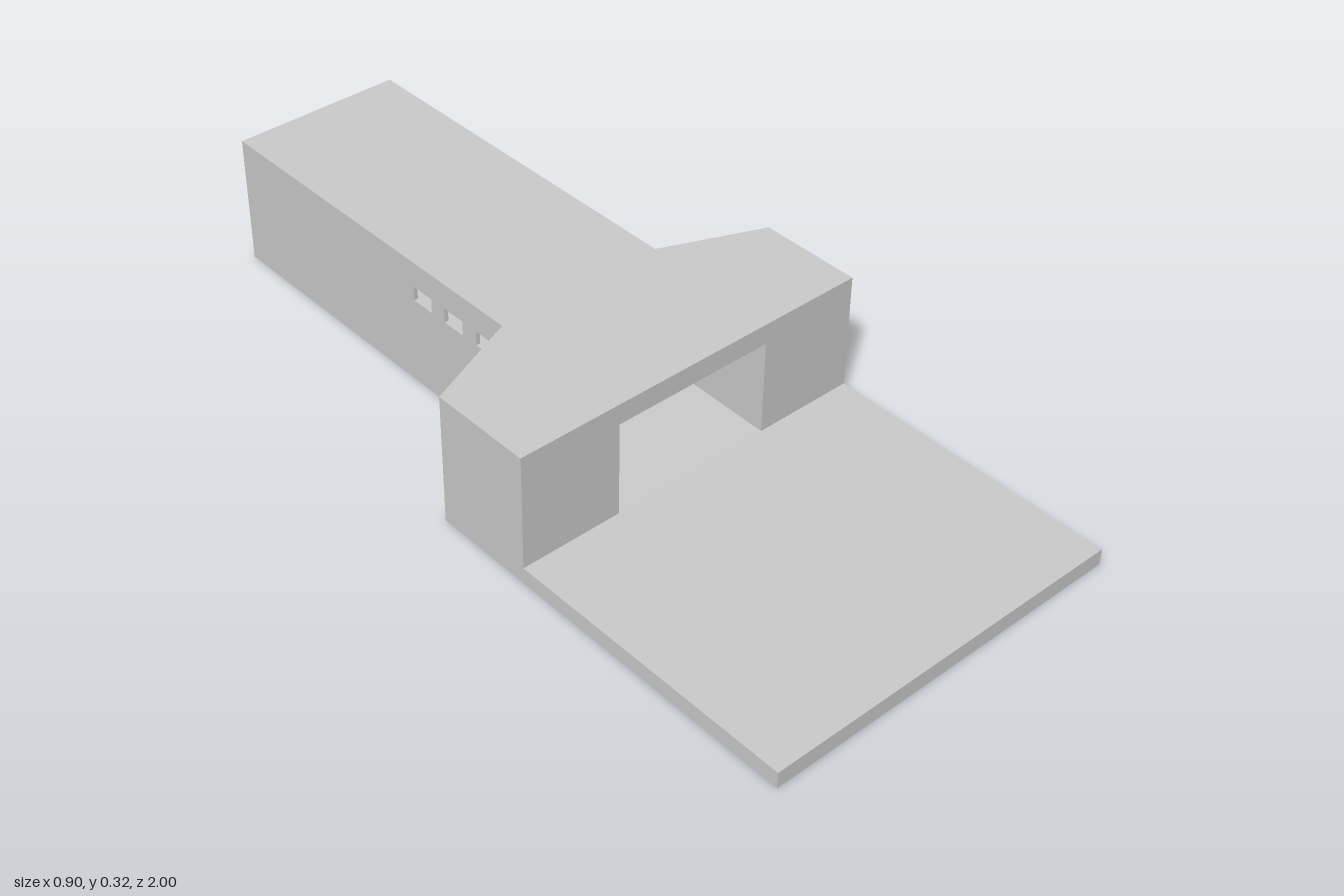
import * as THREE from 'three';

const H = 0.32, FRONT = 0.29, BACK = -1;
const IN = { x: 0.2, top: 0.27, front: 0.04, back: 0.06, z: -0.92 };   // inner passage
const SIDE = [[0.45, FRONT], [0.45, 0.04], [0.21, -0.06], [0.21, BACK]]; // outer plan, (x, z)
const WIN = { y0: 0.22, y1: 0.256, half: 0.031 };
const WINDOWS = [-0.008, -0.118, -0.225, -0.331];

const material = new THREE.MeshStandardMaterial({ color: 0xcccccc, flatShading: true, side: THREE.DoubleSide });

function add(parent, geometry, name) {
  const mesh = new THREE.Mesh(geometry, material);
  mesh.name = name;
  parent.add(mesh);
  return mesh;
}

// Four-cornered face, corners counter-clockwise from its front
function quad(parent, name, a, b, c, d) {
  const g = new THREE.BufferGeometry();
  g.setAttribute('position', new THREE.Float32BufferAttribute([a, b, c, a, c, d].flat(), 3));
  g.computeVertexNormals();
  return add(parent, g, name);
}

// Upright wall from plan point a to b, with window holes centred on given z
function wall(parent, name, a, b, y0, y1, top, windows = []) {
  const length = Math.hypot(b[0] - a[0], b[1] - a[1]);
  const along = (z) => ((z - a[1]) / (b[1] - a[1])) * length;
  const shape = new THREE.Shape([[0, y0], [length, y1], [length, top], [0, top]].map((p) => new THREE.Vector2(...p)));
  for (const z of windows) {
    const s0 = along(z - WIN.half), s1 = along(z + WIN.half);
    shape.holes.push(new THREE.Path(
      [[s0, WIN.y0], [s0, WIN.y1], [s1, WIN.y1], [s1, WIN.y0]].map((p) => new THREE.Vector2(...p))));
  }
  const g = new THREE.ShapeGeometry(shape);
  const pos = g.attributes.position;
  for (let i = 0; i < pos.count; i++) {
    const t = pos.getX(i) / length;
    pos.setXYZ(i, a[0] + (b[0] - a[0]) * t, pos.getY(i), a[1] + (b[1] - a[1]) * t);
  }
  g.computeVertexNormals();
  return add(parent, g, name);
}

// Lining of one window, running from the inner wall to the outer wall
function windowLining(parent, zc) {
  const outer = (z) => (z > -0.06 ? 0.21 + (z + 0.06) * 2.4 : 0.21);
  const { y0, y1, half } = WIN;
  const za = zc - half, zb = zc + half, xa = outer(za), xb = outer(zb), x = IN.x;
  quad(parent, 'windowSill', [x, y0, za], [x, y0, zb], [xb, y0, zb], [xa, y0, za]);
  quad(parent, 'windowHead', [x, y1, za], [xa, y1, za], [xb, y1, zb], [x, y1, zb]);
  quad(parent, 'windowJamb', [x, y0, za], [xa, y0, za], [xa, y1, za], [x, y1, za]);
  quad(parent, 'windowJamb', [x, y0, zb], [x, y1, zb], [xb, y1, zb], [xb, y0, zb]);
}

// One side of the building, on +x
function buildSide() {
  const side = new THREE.Group();
  wall(side, 'frontWall', [IN.x, FRONT], SIDE[0], 0, 0, H);
  wall(side, 'hallSideWall', SIDE[0], SIDE[1], 0, 0, H);
  wall(side, 'slantedWall', SIDE[1], SIDE[2], 0, 0, H, WINDOWS.slice(0, 1));
  wall(side, 'corridorWall', SIDE[2], SIDE[3], 0, 0, H, WINDOWS.slice(1));
  wall(side, 'innerWall', [IN.x, IN.z], [IN.x, FRONT], IN.back, IN.front, IN.top, WINDOWS);
  quad(side, 'rearSplay', [0.21, 0, BACK], [IN.x, IN.back, IN.z], [IN.x, IN.top, IN.z], [0.21, H, BACK]);
  WINDOWS.forEach((z) => windowLining(side, z));
  return side;
}

// Flat plan of the building; facing up, or down for the underside
function plan(parent, name, y, up) {
  const pts = [...SIDE, ...SIDE.map(([x, z]) => [-x, z]).reverse()];
  const g = new THREE.ShapeGeometry(new THREE.Shape(pts.map(([x, z]) => new THREE.Vector2(x, up ? -z : z))));
  g.rotateX(up ? -Math.PI / 2 : Math.PI / 2);
  g.translate(0, y, 0);
  return add(parent, g, name);
}

export function createModel() {
  const model = new THREE.Group();
  model.name = 'building';

  // Forecourt slab
  const slab = add(model, new THREE.BoxGeometry(0.9, IN.front, 1 - FRONT), 'forecourt');
  slab.position.set(0, IN.front / 2, (1 + FRONT) / 2);

  // Roof and underside
  plan(model, 'roof', H, true);
  plan(model, 'underside', 0, false);

  // Mirrored sides
  const left = buildSide();
  left.name = 'leftSide';
  const right = buildSide();
  right.name = 'rightSide';
  right.scale.x = -1;
  model.add(left, right);

  // Passage: lintel, ceiling, gently rising floor, splayed rear mouth
  const { x, top, front, back, z } = IN;
  quad(model, 'lintel', [-x, top, FRONT], [x, top, FRONT], [x, H, FRONT], [-x, H, FRONT]);
  quad(model, 'ceiling', [-x, top, z], [x, top, z], [x, top, FRONT], [-x, top, FRONT]);
  quad(model, 'floorRamp', [-x, front, FRONT], [x, front, FRONT], [x, back, z], [-x, back, z]);
  quad(model, 'rearCeilingSplay', [-0.21, H, BACK], [0.21, H, BACK], [x, top, z], [-x, top, z]);
  quad(model, 'rearFloorSplay', [-x, back, z], [x, back, z], [0.21, 0, BACK], [-0.21, 0, BACK]);

  // Low platform along the passage
  const platform = add(model, new THREE.BoxGeometry(0.16, 0.018, 0.71), 'platform');
  platform.position.set(0, 0.052, -0.315);

  return model;
}
